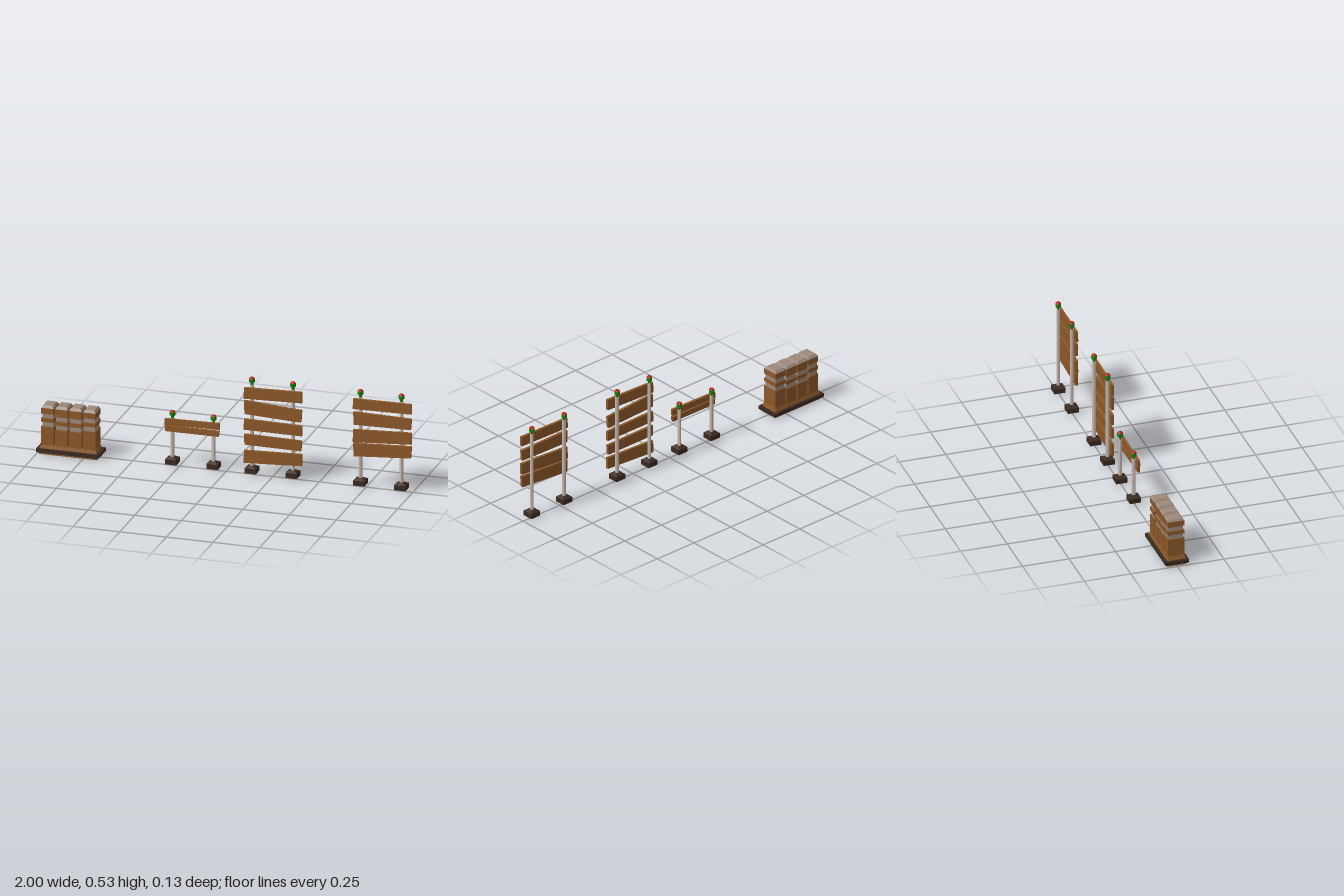
import * as THREE from 'three';

const mat = (name, color) => {
  const m = new THREE.MeshStandardMaterial({ color });
  m.name = name;
  return m;
};

export function createModel() {
  const wood = mat('brown wood', 0x8b5829);
  const stone = mat('taupe band', 0x9c897b);
  const pale = mat('pale post', 0xc6b8ad);
  const dark = mat('dark base', 0x3b2a20);
  const green = mat('green lamp', 0x1f800f);
  const red = mat('red cap', 0xb02a16);
  const model = new THREE.Group();

  const add = (parent, name, geo, material, x = 0, y = 0, z = 0) => {
    const mesh = new THREE.Mesh(geo, material);
    mesh.name = name;
    mesh.position.set(x, y, z);
    parent.add(mesh);
    return mesh;
  };

  // Box between two heights whose top may be smaller than its bottom
  const taper = (y0, y1, w0, d0, w1 = w0, d1 = d0) => {
    const g = new THREE.BoxGeometry(1, 1, 1).toNonIndexed();
    const p = g.attributes.position;
    for (let i = 0; i < p.count; i++) {
      const top = p.getY(i) > 0;
      p.setXYZ(i, p.getX(i) * (top ? w1 : w0), top ? y1 : y0, p.getZ(i) * (top ? d1 : d0));
    }
    g.computeVertexNormals();
    return g;
  };

  // Rectangular ring lying flat
  const ring = (w, d, t, h) => {
    const rect = (P, a, b) => new P([[-a, -b], [a, -b], [a, b], [-a, b]].map(([x, y]) => new THREE.Vector2(x, y)));
    const s = rect(THREE.Shape, w / 2, d / 2);
    s.holes.push(rect(THREE.Path, w / 2 - t, d / 2 - t));
    return new THREE.ExtrudeGeometry(s, { depth: h, bevelEnabled: false }).rotateX(-Math.PI / 2);
  };

  // Block wall of four banded columns on a shared plinth
  const wall = new THREE.Group();
  wall.name = 'columnWall';
  wall.position.x = -0.8325;
  model.add(wall);
  add(wall, 'plinthSkirt', ring(0.31, 0.1, 0.006, 0.03), wood);
  add(wall, 'plinthRim', ring(0.335, 0.126, 0.016, 0.019), dark, 0, 0.0125);
  add(wall, 'plinthFlare', taper(0.03, 0.05, 0.308, 0.1, 0.294, 0.088), wood);
  [0, -0.012, -0.012, 0].forEach((o, i) => {
    const column = new THREE.Group();
    column.name = 'column' + (i + 1);
    column.position.x = (i - 1.5) * 0.0745;
    wall.add(column);
    const cuts = [0.05, 0.149 + o, 0.174 + o, 0.195 + o, 0.219 + o, 0.25];
    for (let k = 0; k < 5; k++) {
      const band = k % 2 === 1;
      add(column, band ? 'recessedBand' : 'columnBlock',
        taper(cuts[k], cuts[k + 1], band ? 0.058 : 0.067, band ? 0.077 : 0.088), band ? stone : wood);
    }
    add(column, 'columnCap', taper(0.25, 0.263, 0.067, 0.088, 0.05, 0.068), stone);
  });

  // Lamp post: foot, pole and lamp
  const post = (parent, x, top) => {
    const g = new THREE.Group();
    g.name = 'post';
    g.position.x = x;
    parent.add(g);
    add(g, 'foot', taper(0.0125, 0.039, 0.06, 0.06), dark);
    add(g, 'footTop', taper(0.039, 0.049, 0.056, 0.056, 0.026, 0.026), dark);
    const pole = new THREE.CylinderGeometry(0.01, 0.01, top - 0.04, 8).toNonIndexed();
    const lamp = new THREE.LatheGeometry(
      [[0, 0], [0.007, 0], [0.007, 0.01], [0.015, 0.016], [0.015, 0.034]].map(([r, y]) => new THREE.Vector2(r, y)), 8).toNonIndexed();
    const cap = new THREE.CylinderGeometry(0.01, 0.015, 0.007, 8).toNonIndexed();
    [pole, lamp, cap].forEach((geo) => geo.rotateY(Math.PI / 8).computeVertexNormals());
    add(g, 'pole', pole, pale, 0, (top + 0.04) / 2);
    add(g, 'lamp', lamp, green, 0, top);
    add(g, 'lampCap', cap, red, 0, top + 0.0375);
  };

  // Fence panels; each board: left top, left bottom, right top, right bottom
  const fences = [
    { name: 'lowFence', x: [-0.325, -0.03], posts: [-0.288, -0.067], top: 0.258,
      boards: [[0.258, 0.226, 0.264, 0.23], [0.222, 0.191, 0.221, 0.192]] },
    { name: 'tallFence', x: [0.1, 0.412], posts: [0.138, 0.358], top: 0.488,
      boards: [[0.476, 0.416, 0.485, 0.426], [0.406, 0.333, 0.386, 0.32], [0.305, 0.247, 0.3, 0.246],
        [0.223, 0.166, 0.219, 0.164], [0.134, 0.066, 0.146, 0.083]] },
    { name: 'highFence', x: [0.685, 1], posts: [0.72, 0.94], top: 0.488,
      boards: [[0.483, 0.427, 0.486, 0.432], [0.411, 0.342, 0.406, 0.347], [0.315, 0.246, 0.33, 0.268],
        [0.24, 0.17, 0.256, 0.192]] },
  ];
  for (const f of fences) {
    const g = new THREE.Group();
    g.name = f.name;
    model.add(g);
    f.posts.forEach((x) => post(g, x, f.top));
    f.boards.forEach(([lt, lb, rt, rb], i) => {
      // Slightly uneven board ends
      const e = (i % 2) * 0.005;
      const s = new THREE.Shape();
      s.moveTo(f.x[0] + e, lb);
      s.lineTo(f.x[1] - e, rb);
      s.lineTo(f.x[1], rt);
      s.lineTo(f.x[0] + 0.003, lt);
      s.closePath();
      add(g, 'board', new THREE.ExtrudeGeometry(s, { depth: 0.014, bevelEnabled: false }), wood, 0, 0, 0.0095);
    });
  }
  return model;
}
